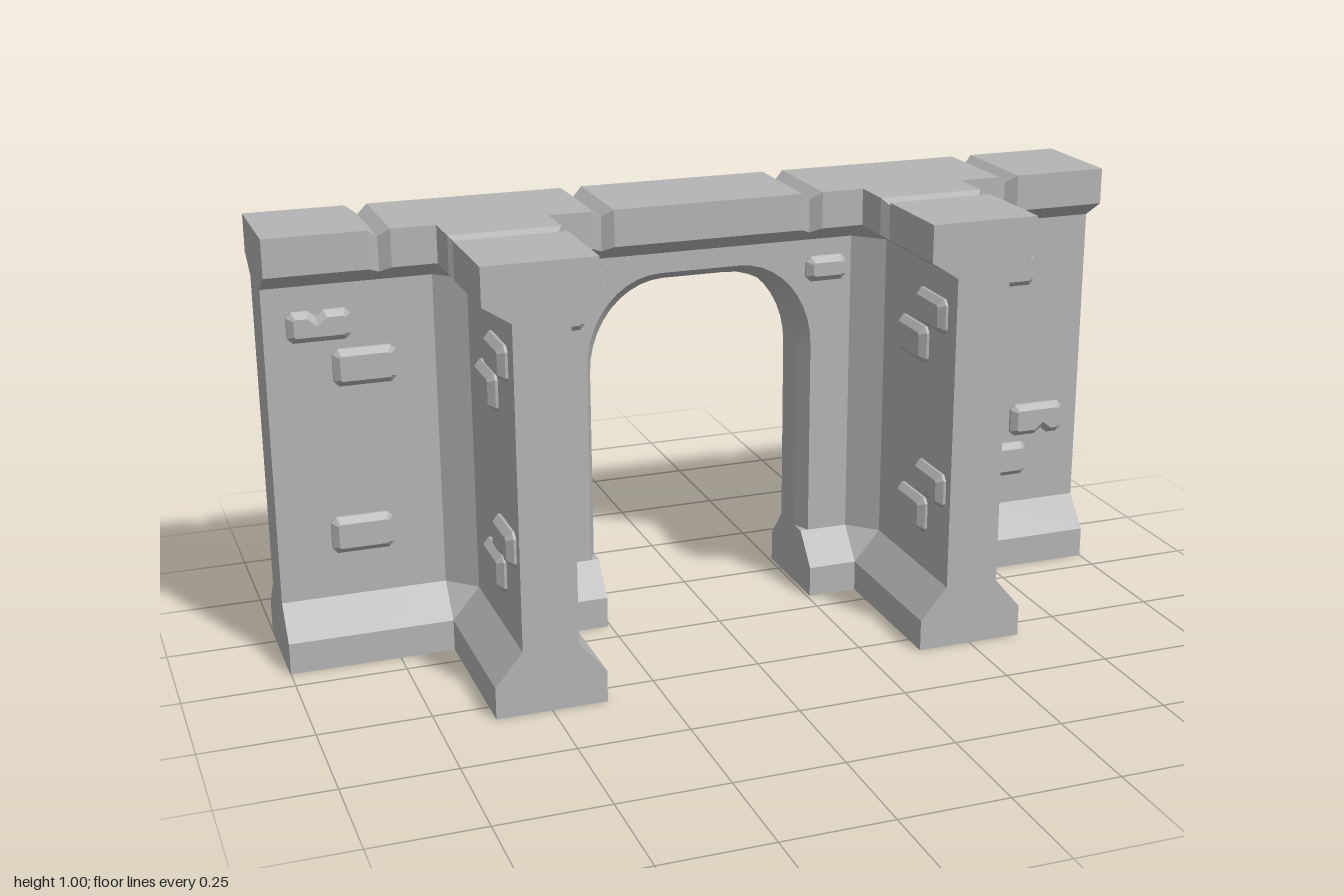
import * as THREE from 'three';
import { ConvexGeometry } from 'three/addons/geometries/ConvexGeometry.js';

const WALL_Z = -0.1875, NARROW = 0.0625, WIDE = 0.125, END = 0.3125;
const Y1 = 0.073, Y2 = 0.147, Y3 = 0.875, Y4 = 0.915;

// Cross-sections of the coping and the plinth; d is the groove depth
const copingRing = (d) => [
  [-NARROW, Y3], [NARROW, Y3], [WIDE - d, Y4 - d * 0.64],
  [WIDE - d, 1 - d], [d - WIDE, 1 - d], [d - WIDE, Y4 - d * 0.64]];
const plinthRing = (d) => [
  [-WIDE, 0], [WIDE - d, 0], [WIDE - d, Y1 + d * 1.18],
  [NARROW, Y2], [-NARROW, Y2], [-WIDE, Y1]];

// Sweep a convex cross-section along z, with V grooves at the given places
function sweep(ringAt, from, to, grooves = [], depth = 0.018) {
  const stations = [[from, 0]];
  for (const g of grooves) stations.push([g - 0.025, 0], [g, depth], [g + 0.025, 0]);
  stations.push([to, 0]);
  const rings = stations.map(([s, d]) => ringAt(d).map(([u, y]) => [u, y, s]));
  const n = rings[0].length, out = [];
  for (let k = 0; k + 1 < rings.length; k++) {
    for (let i = 0; i < n; i++) {
      const j = (i + 1) % n, a = rings[k][i], b = rings[k][j], c = rings[k + 1][j], d = rings[k + 1][i];
      out.push(a, b, c, a, c, d);
    }
  }
  const first = rings[0], last = rings[rings.length - 1];
  for (let i = 1; i + 1 < n; i++) {
    out.push(first[0], first[i + 1], first[i], last[0], last[i], last[i + 1]);
  }
  const geo = new THREE.BufferGeometry();
  geo.setAttribute('position', new THREE.Float32BufferAttribute(out.flat(), 3));
  geo.computeVertexNormals();
  return geo;
}

// Arch outline from left foot to right foot
function archPoints(w, top) {
  const rx = 0.18, ry = 0.21, pts = [[-w, Y2]];
  for (let i = 0; i <= 10; i++) {
    const a = (i / 10) * Math.PI / 2;
    pts.push([-w + rx - rx * Math.cos(a), top - ry + ry * Math.sin(a)]);
  }
  return pts.concat(pts.map(([x, y]) => [-x, y]).reverse());
}

function wallSlab(arch, z, depth) {
  const outline = [[-1, Y2], ...arch, [1, Y2], [1, Y3], [-1, Y3]];
  const shape = new THREE.Shape(outline.map(([x, y]) => new THREE.Vector2(x, y)));
  return new THREE.ExtrudeGeometry(shape, { depth, bevelEnabled: false }).translate(0, 0, z);
}

// Raised stone with cut corners; notch is 1 for a chipped top, -1 for a chipped bottom
function brickGeometry(w, h, notch = 0) {
  const x = w / 2, y = h / 2, c = 0.012, pts = [];
  pts.push([-x, -y + c], [-x + c, -y]);
  if (notch < 0) pts.push([-0.002, -y], [0.015, -y + 0.014], [0.032, -y]);
  pts.push([x - c, -y], [x, -y + c], [x, y - c], [x - c, y]);
  if (notch > 0) pts.push([0.012, y], [-0.005, y - 0.014], [-0.022, y]);
  pts.push([-x + c, y], [-x, y - c]);
  const shape = new THREE.Shape(pts.map((p) => new THREE.Vector2(...p)));
  return new THREE.ExtrudeGeometry(shape, {
    depth: 0.008, bevelThickness: 0.014, bevelSize: 0.014, bevelOffset: -0.014, bevelSegments: 1,
  }).translate(0, 0, -0.002);
}

export function createModel() {
  const group = new THREE.Group();
  const stone = new THREE.MeshStandardMaterial({ color: 0xb4b4b4 });
  stone.name = 'grey stone';
  const add = (name, geo) => {
    const mesh = new THREE.Mesh(geo, stone);
    mesh.name = name;
    group.add(mesh);
    return mesh;
  };
  const alongX = (geo) => geo.rotateY(Math.PI / 2).translate(0, 0, WALL_Z);

  // Wall with an archway whose front edge is chamfered
  const inner = archPoints(0.257, 0.805), outer = archPoints(0.276, 0.828), zMid = -0.165;
  add('wallBack', wallSlab(inner, -0.25, 0.25 + zMid));
  add('wallFront', wallSlab(outer, zMid, -0.125 - zMid));
  const pos = [], idx = [];
  inner.forEach(([x, y], i) => {
    pos.push(x, y, zMid, outer[i][0], outer[i][1], -0.125);
    if (i) idx.push(2 * i - 2, 2 * i, 2 * i - 1, 2 * i, 2 * i + 1, 2 * i - 1);
  });
  const chamfer = new THREE.BufferGeometry();
  chamfer.setAttribute('position', new THREE.Float32BufferAttribute(pos, 3));
  chamfer.setIndex(idx);
  chamfer.computeVertexNormals();
  add('archChamfer', chamfer);

  // Coping along the wall and plinths on both sides of the archway
  add('wallCoping', alongX(sweep(copingRing, -1, 1, [-0.75, -0.25, 0.25, 0.75])));
  add('leftPlinth', alongX(sweep(plinthRing, 0.257, 1, [0.75])));
  add('rightPlinth', alongX(sweep(plinthRing, -1, -0.257, [-0.75])));

  // Buttresses with coping, plinth and filled inside corners
  for (const side of [-1, 1]) {
    const cx = side * 0.5, back = -0.15;
    add('buttress', new THREE.BoxGeometry(2 * NARROW, Y3 - Y2, END - back)
      .translate(cx, (Y2 + Y3) / 2, (END + back) / 2));
    add('buttressCoping', sweep(copingRing, back, END, [0.0625]).translate(cx, 0, 0));
    add('buttressPlinth', sweep(plinthRing, back, END).translate(cx, 0, 0));
    for (const s of [-1, 1]) {
      const at = (dx, z) => (y) => new THREE.Vector3(cx + s * dx, y, z);
      const c = at(NARROW, -0.125), a = at(WIDE, -0.125), b = at(NARROW, -0.0625), tip = at(WIDE, -0.0625);
      add('cornerFill', new ConvexGeometry([c, a, b].flatMap((p) => [p(Y2), p(Y3)])));
      add('cornerFoot', new ConvexGeometry([c(Y1), tip(Y1), a(Y2), b(Y2), c(Y2)]));
      add('cornerHead', new ConvexGeometry([c(Y4), tip(Y4), a(Y3), b(Y3), c(Y3)]));
    }
  }

  // Raised stones on the front: x, y, width, height, notch
  const front = [
    [-0.88, 0.785, 0.14, 0.07, 1], [-0.785, 0.685, 0.14, 0.085], [-0.81, 0.295, 0.14, 0.085],
    [-0.3, 0.835, 0.12, 0.05], [-0.32, 0.755, 0.08, 0.08], [0.31, 0.805, 0.1, 0.06],
    [0.79, 0.755, 0.14, 0.085], [0.885, 0.365, 0.14, 0.08, -1], [0.79, 0.265, 0.14, 0.085]];
  for (const [x, y, w, h, n] of front) {
    add('frontBrick', brickGeometry(w, h, n)).position.set(x, y, -0.125);
  }

  // Raised stones on the back
  const rear = [
    [0.766, 0.82, 0.14, 0.05], [0.675, 0.74, 0.14, 0.085], [0.42, 0.72, 0.14, 0.085],
    [0.39, 0.61, 0.11, 0.085], [0.78, 0.4, 0.14, 0.08, -1], [0.62, 0.4, 0.14, 0.085],
    [0.72, 0.315, 0.14, 0.085], [0.416, 0.295, 0.12, 0.085, 1], [-0.545, 0.69, 0.14, 0.08, 1],
    [-0.467, 0.6, 0.11, 0.085], [-0.604, 0.6, 0.13, 0.085], [-0.844, 0.8, 0.14, 0.06],
    [-0.77, 0.355, 0.14, 0.085], [-0.675, 0.265, 0.14, 0.085]];
  for (const [x, y, w, h, n] of rear) {
    const brick = add('backBrick', brickGeometry(w, h, n));
    brick.position.set(x, y, -0.25);
    brick.rotation.y = Math.PI;
  }

  // Raised stones on the buttress sides: z, y, width, height, notch
  const leftFace = [[0.195, 0.78, 0.14, 0.07, 1], [0.1, 0.685, 0.14, 0.085], [0.12, 0.29, 0.14, 0.085]];
  const rightFace = [[0.2, 0.775, 0.14, 0.08], [0.11, 0.685, 0.14, 0.085],
    [0.22, 0.37, 0.14, 0.08, -1], [0.13, 0.28, 0.14, 0.085]];
  for (const cx of [-0.5, 0.5]) {
    for (const [s, list] of [[1, leftFace], [-1, rightFace]]) {
      for (const [z, y, w, h, n] of list) {
        const brick = add('buttressBrick', brickGeometry(w, h, n));
        brick.position.set(cx + s * NARROW, y, z);
        brick.rotation.y = s * Math.PI / 2;
      }
    }
  }
  return group;
}
